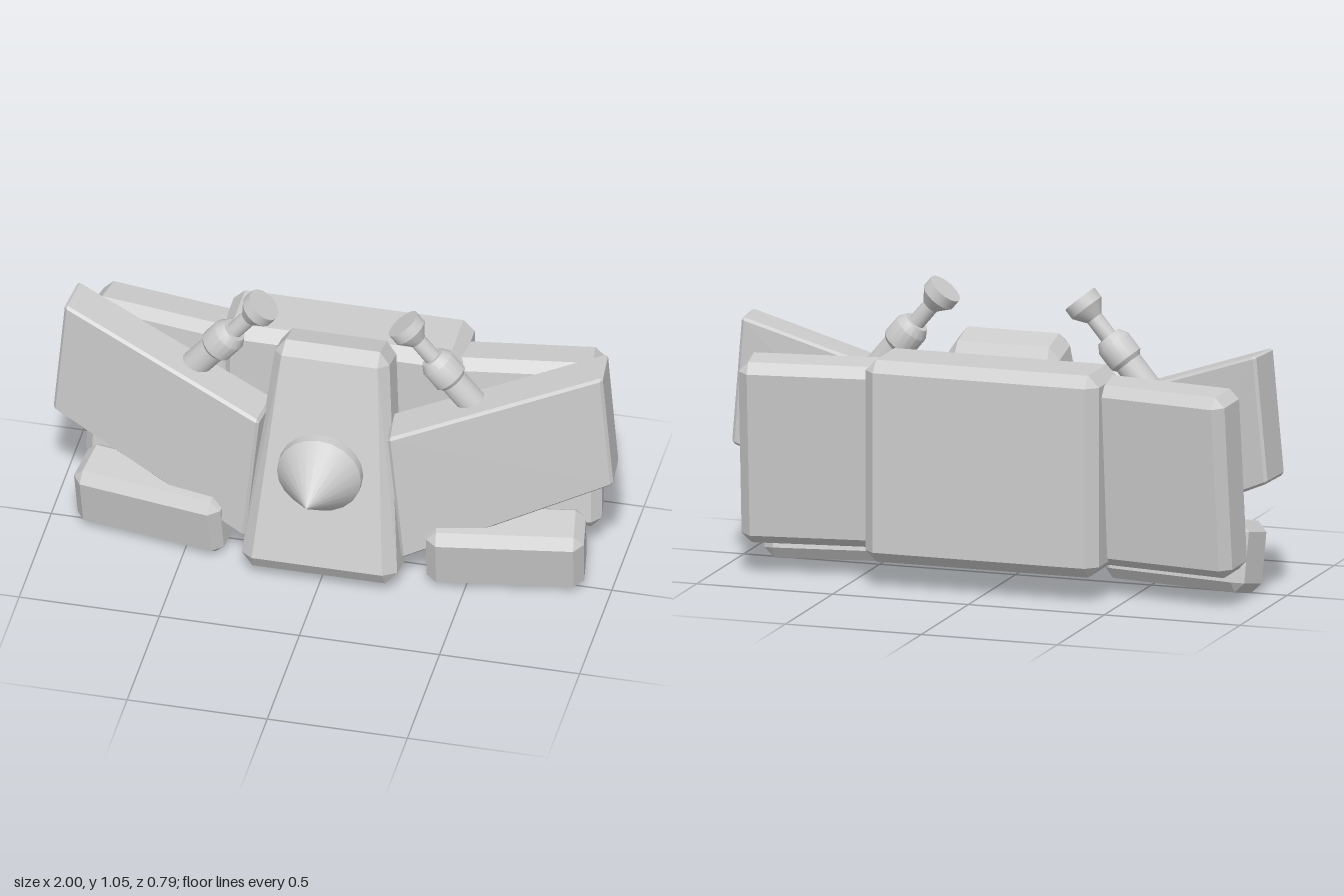
import * as THREE from 'three';
import { toCreasedNormals } from 'three/addons/utils/BufferGeometryUtils.js';
import { ConvexGeometry } from 'three/addons/geometries/ConvexGeometry.js';

const V = (x, y, z) => new THREE.Vector3(x, y, z);

// Box with chamfered edges; warp(point) may move each of its corner points
function chamferBox(w, h, d, b, warp = (p) => p) {
  const points = [];
  for (const sx of [-1, 1]) for (const sy of [-1, 1]) for (const sz of [-1, 1]) {
    const x = w / 2, y = h / 2, z = d / 2;
    for (const [cx, cy, cz] of [[x, y - b, z - b], [x - b, y, z - b], [x - b, y - b, z]]) {
      points.push(warp(V(sx * cx, sy * cy, sz * cz)));
    }
  }
  return new ConvexGeometry(points);
}

export function createModel() {
  const model = new THREE.Group();
  model.name = 'armourTorso';
  const grey = new THREE.MeshStandardMaterial({ color: 0xcccccc });
  grey.name = 'light grey';

  function add(name, geometry, position = [0, 0, 0], rotation = [0, 0, 0]) {
    const mesh = new THREE.Mesh(geometry, grey);
    mesh.name = name;
    mesh.position.set(...position);
    mesh.rotation.set(...rotation, 'YXZ');
    model.add(mesh);
  }

  // Central body: narrow at the top, leaning back
  const bodyHeight = 0.86;
  add('centralBody', chamferBox(0.56, bodyHeight, 0.2, 0.045, (p) => {
    p.x *= 0.86 - 0.29 * (p.y / bodyHeight) + 0.0;
    return p;
  }), [0, 0.455, 0.035], [-0.26, 0, 0]);

  // Nose spike: short drum with a cone
  const spike = new THREE.LatheGeometry(
    [[0, 0.16], [0.15, 0.16], [0.15, 0.197], [0, 0.397]].map(([r, y]) => new THREE.Vector2(r, y)), 20);
  add('chestSpike', toCreasedNormals(spike, 0.6), [0, 0.48, 0], [Math.PI / 2, 0, 0]);

  // Large pack across the back
  add('backPack', chamferBox(0.86, 0.72, 0.275, 0.04), [0, 0.46, -0.256]);

  // Stepped gun barrel, measured from the muzzle down
  const barrelProfile = [[0, -0.46], [0.05, -0.46], [0.05, -0.28], [0.063, -0.265], [0.063, -0.195],
    [0.045, -0.165], [0.03, -0.165], [0.03, -0.085], [0.064, -0.04], [0.064, 0], [0, 0]]
    .map(([r, y]) => new THREE.Vector2(r, y));
  const barrel = toCreasedNormals(new THREE.LatheGeometry(barrelProfile, 16), 0.6);

  // Wing corners for the +x side: [inner, outer][bottom, top][back, front]
  const wingCorners = [
    [[V(0.26, 0.12, -0.02), V(0.28, 0.12, 0.137)], [V(0.21, 0.63, -0.02), V(0.23, 0.63, 0.137)]],
    [[V(0.985, 0.44, -0.175), V(1.0, 0.445, -0.02)], [V(0.945, 0.895, -0.185), V(0.96, 0.895, -0.025)]],
  ];

  for (const side of [1, -1]) {
    const label = side > 0 ? 'left' : 'right';

    // Slanted chest wing, a block blended between its eight corners
    add(label + 'Wing', chamferBox(0.75, 0.5, 0.15, 0.01, (p) => {
      const tx = p.x / 0.75 + 0.5, ty = p.y / 0.5 + 0.5, tz = p.z / 0.15 + 0.5;
      const out = V(0, 0, 0);
      for (let i = 0; i < 2; i++) for (let j = 0; j < 2; j++) for (let k = 0; k < 2; k++) {
        const weight = (i ? tx : 1 - tx) * (j ? ty : 1 - ty) * (k ? tz : 1 - tz);
        out.addScaledVector(wingCorners[i][j][k], weight);
      }
      out.x *= side;
      return out;
    }));

    // Rear side panel, swept back and leaning
    add(label + 'RearPanel', chamferBox(0.54, 0.66, 0.18, 0.035),
      [side * 0.64, 0.455, -0.237], [-0.1, side * 0.15, 0]);

    // Low front block, leaning forward
    add(label + 'FootBlock', chamferBox(0.55, 0.25, 0.2, 0.035),
      [side * 0.625, 0.142, 0.007], [0.19, side * 0.165, 0]);

    // Raised barrel, tilted towards the middle
    add(label + 'Barrel', barrel, [side * 0.2475, 1.015, -0.03], [0, 0, side * 0.694]);
  }
  return model;
}
